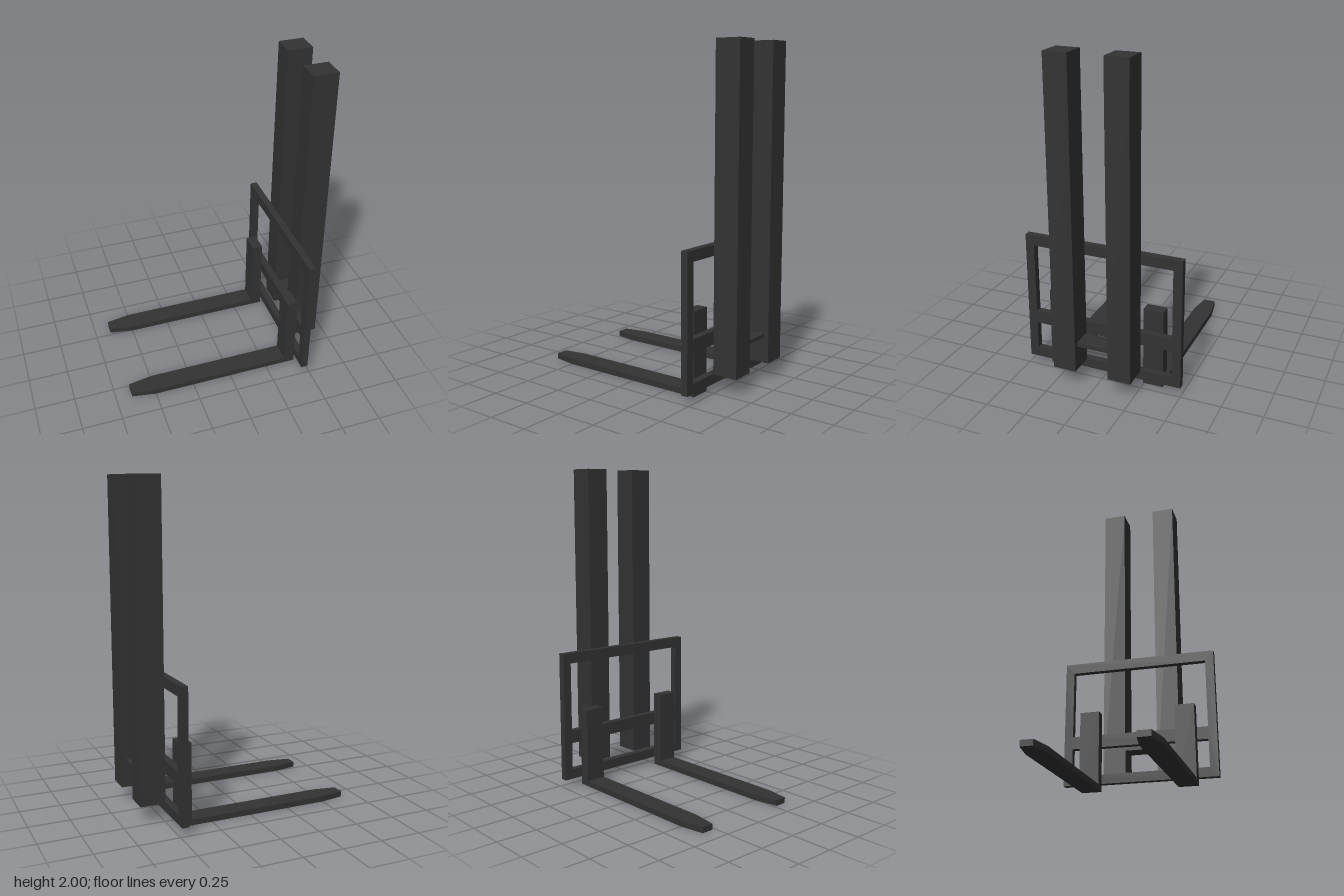
import * as THREE from 'three';

const material = new THREE.MeshStandardMaterial({ color: 0x333333, flatShading: true });

function add(parent, name, geometry) {
  const mesh = new THREE.Mesh(geometry, material);
  mesh.name = name;
  parent.add(mesh);
  return mesh;
}

// Box given by its lower and upper limits on each axis
function block(x0, x1, y0, y1, z0, z1) {
  return new THREE.BoxGeometry(x1 - x0, y1 - y0, z1 - z0)
    .translate((x0 + x1) / 2, (y0 + y1) / 2, (z0 + z1) / 2);
}

const points = (list) => list.map(([x, y]) => new THREE.Vector2(x, y));
const rectangle = (x0, x1, y0, y1) => points([[x0, y0], [x1, y0], [x1, y1], [x0, y1]]);

export function createModel() {
  const model = new THREE.Group();
  model.name = 'forkliftMast';

  // Carriage frame with an upper and a lower opening
  const frame = new THREE.Shape(rectangle(-0.495, 0.495, 0.05, 0.865));
  for (const [y0, y1] of [[0.11, 0.285], [0.365, 0.8]]) {
    frame.holes.push(new THREE.Path(rectangle(-0.44, 0.44, y0, y1)));
  }
  add(model, 'carriageFrame',
    new THREE.ExtrudeGeometry(frame, { depth: 0.043, bevelEnabled: false })
      .rotateY(Math.PI / 2).translate(0.445, 0, 0));

  // Plate joining the two mast columns
  add(model, 'mastCrossPlate', block(0.5, 0.62, 0.265, 0.29, -0.105, 0.105));

  // Fork blade outline in plan, tapering to the tip
  const blade = new THREE.Shape(points([
    [0.445, -0.0625], [0.445, 0.0625], [-0.5, 0.0625],
    [-0.65, 0.037], [-0.65, -0.037], [-0.5, -0.0625],
  ]));

  for (const side of [-1, 1]) {
    const label = side > 0 ? 'left' : 'right';

    // Mast column
    add(model, label + 'MastColumn', block(0.493, 0.648, 0.11, 2, -0.0715, 0.0715))
      .position.z = side * 0.1755;

    // Fork: flat blade with an upright shank
    const fork = new THREE.Group();
    fork.name = label + 'Fork';
    fork.position.z = side * 0.307;
    add(fork, 'blade',
      new THREE.ExtrudeGeometry(blade, { depth: 0.035, bevelEnabled: false }).rotateX(-Math.PI / 2));
    add(fork, 'shank', block(0.378, 0.445, 0.035, 0.5, -0.0625, 0.0625));
    model.add(fork);
  }
  return model;
}
